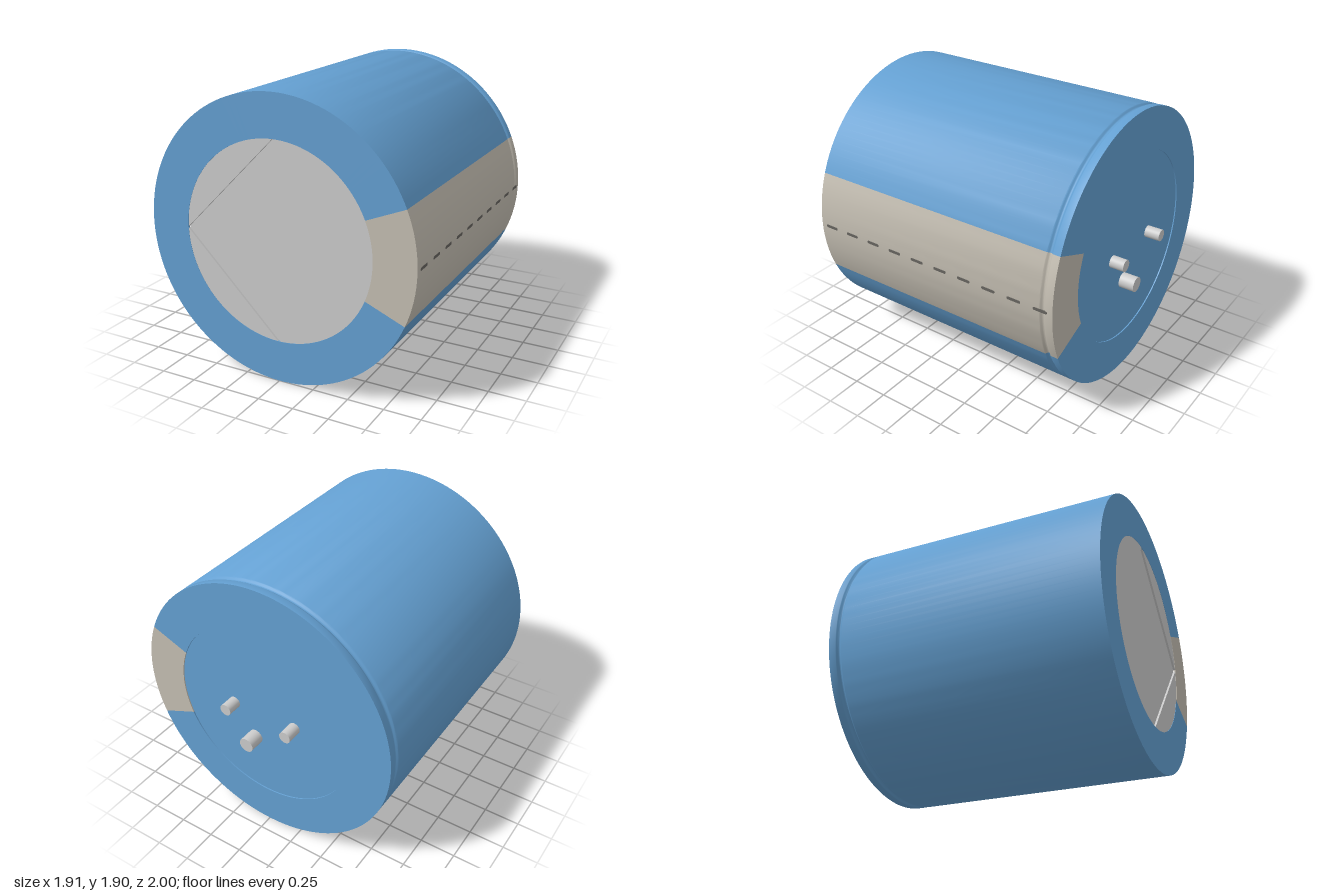
import * as THREE from 'three';
import { toCreasedNormals } from 'three/addons/utils/BufferGeometryUtils.js';

const R = 0.952;      // can radius
const INNER = 0.667;  // radius of the openings in the sleeve ends
const FRONT = 1, BACK = -0.9;
const STRIPE = Math.PI / 4; // angle covered by the stripe

const paint = (color) => new THREE.MeshStandardMaterial({ color });
const blue = paint(0x64a0d2), beige = paint(0xc4beb2), silver = paint(0xd4d4d0), dark = paint(0x66645f);

function add(parent, name, geometry, material, x = 0, y = 0, z = 0) {
  const mesh = new THREE.Mesh(geometry, material);
  mesh.name = name;
  mesh.position.set(x, y, z);
  parent.add(mesh);
  return mesh;
}

// Cylinder lying along z
function rod(radius, z0, z1, segments) {
  return new THREE.CylinderGeometry(radius, radius, z1 - z0, segments)
    .rotateX(Math.PI / 2).translate(0, 0, (z0 + z1) / 2);
}

// Sleeve section: end ring, crimped groove, side wall, end ring
function sleeve(start, length, segments) {
  const points = [new THREE.Vector2(INNER, BACK + 0.012), new THREE.Vector2(INNER, BACK), new THREE.Vector2(R, BACK)];
  for (let i = 0; i <= 10; i++) {
    const t = i / 10;
    points.push(new THREE.Vector2(R - 0.016 * Math.sin(Math.PI * t) ** 1.5, -0.85 + 0.045 * t));
  }
  points.push(new THREE.Vector2(R, FRONT), new THREE.Vector2(INNER, FRONT), new THREE.Vector2(INNER, FRONT - 0.012));
  const lathe = new THREE.LatheGeometry(points, segments, start, length).rotateX(Math.PI / 2);
  return toCreasedNormals(lathe, 0.7);
}

export function createModel() {
  const model = new THREE.Group();
  model.name = 'capacitor';
  const can = new THREE.Group();
  can.name = 'can';
  can.position.y = R;
  model.add(can);

  // Sleeve and its polarity stripe on the +x side
  const mid = Math.PI / 2;
  add(can, 'sleeve', sleeve(mid + STRIPE / 2, Math.PI * 2 - STRIPE, 112), blue);
  add(can, 'stripe', sleeve(mid - STRIPE / 2, STRIPE, 16), beige);

  // Dashes along the middle of the stripe
  const length = 0.1, r = 0.01;
  const dash = new THREE.Shape();
  dash.absarc(length / 2 - r, 0, r, -Math.PI / 2, Math.PI / 2);
  dash.absarc(-length / 2 + r, 0, r, Math.PI / 2, Math.PI * 1.5);
  const dashGeometry = new THREE.ExtrudeGeometry(dash, { depth: 0.006, bevelEnabled: false, curveSegments: 6 })
    .rotateY(Math.PI / 2);
  for (let i = 0; i < 10; i++) add(can, 'dash', dashGeometry, dark, R - 0.004, 0, 0.907 - i * 0.191);

  // Back seal disc, set slightly into the sleeve
  add(can, 'backSeal', rod(INNER, BACK + 0.008, BACK + 0.05, 96), blue);

  // Front end disc: four quarters over a base leave a cross-shaped vent score
  add(can, 'frontDisc', rod(INNER, FRONT - 0.06, FRONT - 0.016, 96), silver);
  const gap = 0.006, a = Math.asin(gap / INNER);
  const quarter = new THREE.Shape();
  quarter.moveTo(gap, gap);
  quarter.absarc(0, 0, INNER, a, Math.PI / 2 - a);
  quarter.closePath();
  const quarterGeometry = new THREE.ExtrudeGeometry(quarter, { depth: 0.014, bevelEnabled: false, curveSegments: 24 });
  for (let i = 0; i < 4; i++) {
    add(can, 'frontQuarter', quarterGeometry, silver, 0, 0, FRONT - 0.016).rotation.z = i * Math.PI / 2;
  }

  // Terminal pins: x, y, radius, tip z
  const pins = [[-0.242, 0.004, 0.041, -1], [0.235, 0.004, 0.041, -0.993], [0.077, -0.22, 0.052, -1]];
  for (const [x, y, radius, tip] of pins) {
    add(can, 'pin', rod(radius, tip, BACK + 0.03, 32), silver, x, y);
  }
  return model;
}
